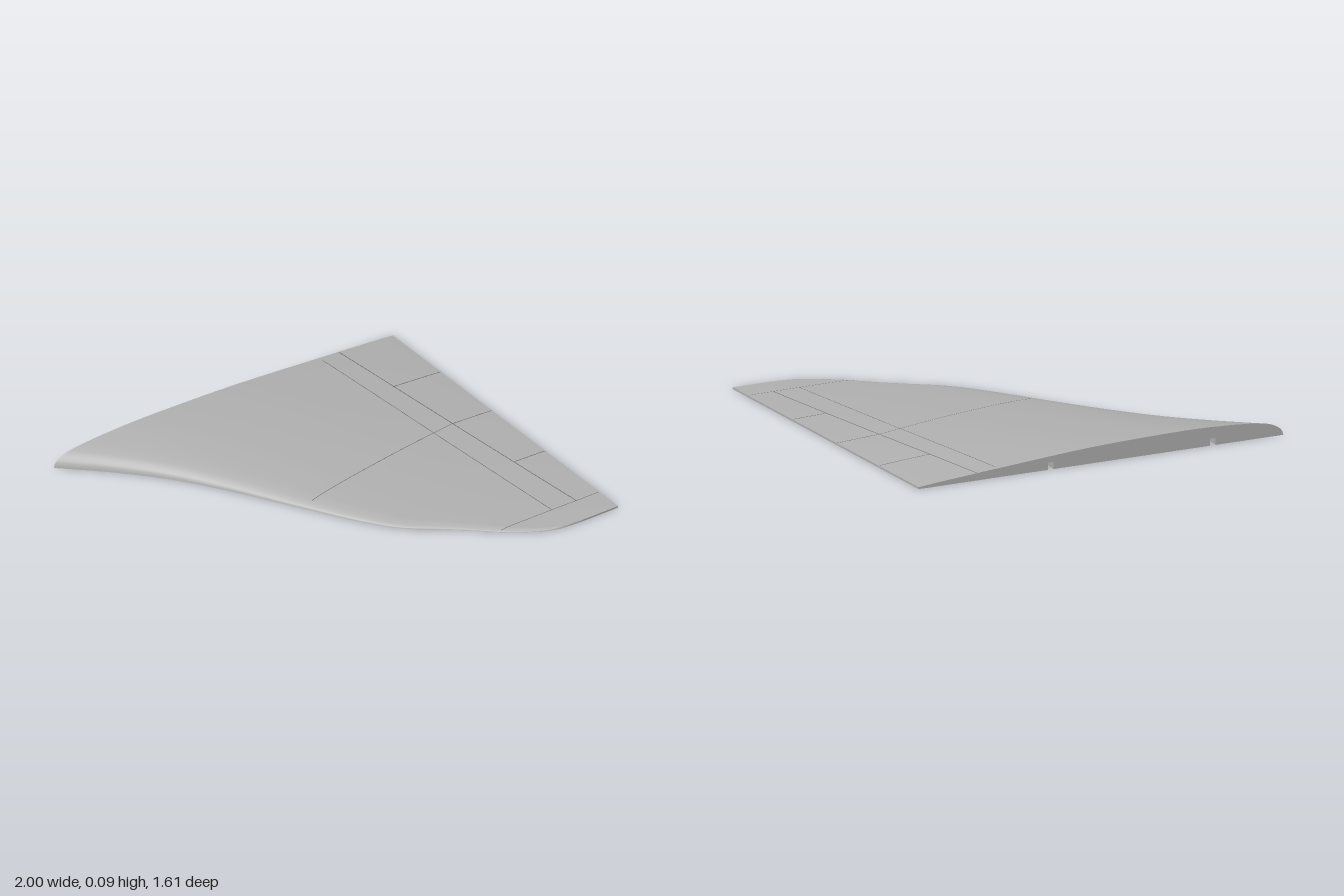
import * as THREE from 'three';

const ROOT = -0.803, TIP = 0.803, TE = 0.009;
const v2 = (p) => new THREE.Vector2(p[0], p[1]);

// Leading edge seen from above, as (z, x)
const leading = new THREE.SplineCurve([
  [ROOT, -1], [-0.64, -0.8], [-0.45, -0.6], [-0.235, -0.42], [0.02, -0.23], [0.246, -0.06],
  [0.406, 0.085], [0.52, 0.246], [0.604, 0.364], [0.706, 0.5], [0.786, 0.663], [TIP, 0.8],
].map(v2)).getPoints(88);
leading.forEach((p) => { p.x = Math.min(p.x, TIP); });

// Aerofoil upper profile, as (chord fraction, height fraction)
const profile = new THREE.SplineCurve([
  [0, 0], [0.003, 0.2], [0.011, 0.4], [0.03, 0.62], [0.055, 0.75], [0.11, 0.87], [0.166, 0.945],
  [0.25, 1], [0.4, 0.945], [0.55, 0.81], [0.77, 0.44], [0.94, 0.13], [1, 0],
].map(v2)).getPoints(60);

// Greatest thickness along the span, as (z, height)
const thickness = [[ROOT, 0.09], [-0.4, 0.063], [0, 0.038], [0.4, 0.021], [0.6, 0.013], [TIP, 0.009]].map(v2);

function interp(points, v) {
  let i = 1;
  while (i < points.length - 1 && points[i].x < v) i++;
  const a = points[i - 1], b = points[i];
  const t = THREE.MathUtils.clamp((v - a.x) / (b.x - a.x || 1), 0, 1);
  return a.y + (b.y - a.y) * t;
}

const trailingX = (z) => 0.81 + 0.19 * (z - ROOT) / (TIP - ROOT);
const heightAt = (s, g, z) =>
  TE * Math.min(1, Math.sqrt(Math.max(0, s) / 0.08)) + Math.max(0, interp(thickness, z) - TE) * g;

function surfaceY(x, z) {
  const x0 = interp(leading, z);
  const s = THREE.MathUtils.clamp((x - x0) / (trailingX(z) - x0), 0, 1);
  return heightAt(s, interp(profile, s), z);
}

// Surface through rows of equal length
function gridGeometry(rows) {
  const n = rows[0].length, index = [];
  for (let i = 0; i < rows.length - 1; i++) {
    for (let j = 0; j < n - 1; j++) {
      const a = i * n + j, b = a + n;
      index.push(a, b, a + 1, b, b + 1, a + 1);
    }
  }
  const geo = new THREE.BufferGeometry();
  geo.setAttribute('position', new THREE.Float32BufferAttribute(rows.flat(2), 3));
  geo.setIndex(index);
  geo.computeVertexNormals();
  return geo;
}

// Recess open below, and at the root when it is a slot
function recessGeometry(x, z, w, d, h, openRoot) {
  const geo = new THREE.BoxGeometry(w, h, d).translate(x, h / 2, z);
  const idx = Array.from(geo.index.array);
  geo.setIndex(idx.filter((_, k) => {
    const face = Math.floor(k / 6);
    return face !== 3 && !(openRoot && face === 5);
  }));
  geo.clearGroups();
  return geo;
}

export function createModel() {
  const wing = new THREE.Group();
  wing.name = 'wing';
  const skin = new THREE.MeshStandardMaterial({ color: 0xb2b2b2, side: THREE.DoubleSide });
  skin.name = 'light grey skin';
  const line = new THREE.MeshStandardMaterial({ color: 0x6c6c6c, side: THREE.DoubleSide });
  line.name = 'dark grey seam';
  const add = (name, geo, mat = skin) => {
    const mesh = new THREE.Mesh(geo, mat);
    mesh.name = name;
    wing.add(mesh);
    return mesh;
  };

  // Curved upper skin
  const rows = leading.map(({ x: z, y: x0 }) => profile.map(({ x: s, y: g }) =>
    [x0 + (trailingX(z) - x0) * s, heightAt(s, g, z), z]));
  add('upperSkin', gridGeometry(rows));

  // Blunt trailing edge
  add('trailingEdge', gridGeometry(rows.map((r) => {
    const [x, y, z] = r[r.length - 1];
    return [[x, y, z], [x, 0, z]];
  })));

  // Root slots as x, length, and width; underside pockets as x, z, length, width
  const slots = [{ x: -0.65, d: 0.14, w: 0.028, h: 0.034 }, { x: 0.155, d: 0.19, w: 0.028, h: 0.034 }];
  const pockets = [
    [0.334, -0.414, 0.07, 0.032], [-0.224, -0.715, 0.04, 0.03], [-0.25, -0.423, 0.07, 0.032],
    [0.226, -0.007, 0.075, 0.032], [0.069, -0.013, 0.075, 0.032],
  ];

  // Flat underside with the slots and pockets cut out
  const outline = leading.map((p) => new THREE.Vector2(p.y, p.x));
  outline.push(v2([1, TIP]), v2([trailingX(ROOT), ROOT]));
  [...slots].reverse().forEach(({ x, d, w }) => outline.push(
    v2([x + w / 2, ROOT]), v2([x + w / 2, ROOT + d]), v2([x - w / 2, ROOT + d]), v2([x - w / 2, ROOT])));
  const under = new THREE.Shape(outline);
  pockets.forEach(([x, z, l, w]) => under.holes.push(new THREE.Path([
    v2([x - l / 2, z - w / 2]), v2([x - l / 2, z + w / 2]),
    v2([x + l / 2, z + w / 2]), v2([x + l / 2, z - w / 2])])));
  add('underside', new THREE.ShapeGeometry(under).rotateX(Math.PI / 2));

  // Recess linings
  slots.forEach(({ x, d, w, h }) => add('rootSlot', recessGeometry(x, ROOT + d / 2, w, d, h, true)));
  pockets.forEach(([x, z, l, w]) => add('pocket', recessGeometry(x, z, l, w, 0.016, false)));

  // Root and tip end faces
  const endFace = (row, notches) => {
    const pts = row.map(([x, y]) => v2([x, y]));
    pts.push(v2([row[row.length - 1][0], 0]));
    [...notches].reverse().forEach(({ x, w, h }) => pts.push(
      v2([x + w / 2, 0]), v2([x + w / 2, h]), v2([x - w / 2, h]), v2([x - w / 2, 0])));
    return new THREE.ShapeGeometry(new THREE.Shape(pts)).translate(0, 0, row[0][2]);
  };
  add('rootFace', endFace(rows[0], slots));
  add('tipFace', endFace(rows[rows.length - 1], []));

  // Panel seams laid along the upper skin, from (x, z) to (x, z)
  const seam = (name, x0, z0, x1, z1, width = 0.004) => {
    const n = 40, len = Math.hypot(x1 - x0, z1 - z0);
    const ox = -(z1 - z0) / len * width / 2, oz = (x1 - x0) / len * width / 2;
    const strip = Array.from({ length: n + 1 }, (_, i) => {
      const x = x0 + (x1 - x0) * i / n, z = z0 + (z1 - z0) * i / n;
      return [1, -1].map((k) =>
        [x + k * ox, surfaceY(x + k * ox, z + k * oz) + 0.0007, z + k * oz]);
    });
    add(name, gridGeometry(strip), line);
  };
  seam('hingeLine', 0.52, -0.8, 0.86, 0.67);
  seam('sparLine', 0.42, -0.78, 0.73, 0.67, 0.003);
  seam('flapGap', 0.595, -0.46, 0.848, -0.46);
  seam('flapGap', 0.68, -0.096, 0.89, -0.096);
  seam('flapGap', 0.77, 0.284, 0.935, 0.284);
  seam('midPanelLine', -0.16, 0.05, 0.68, -0.096, 0.003);
  seam('tipPanelLine', 0.46, 0.67, 0.98, 0.67, 0.003);

  return wing;
}
